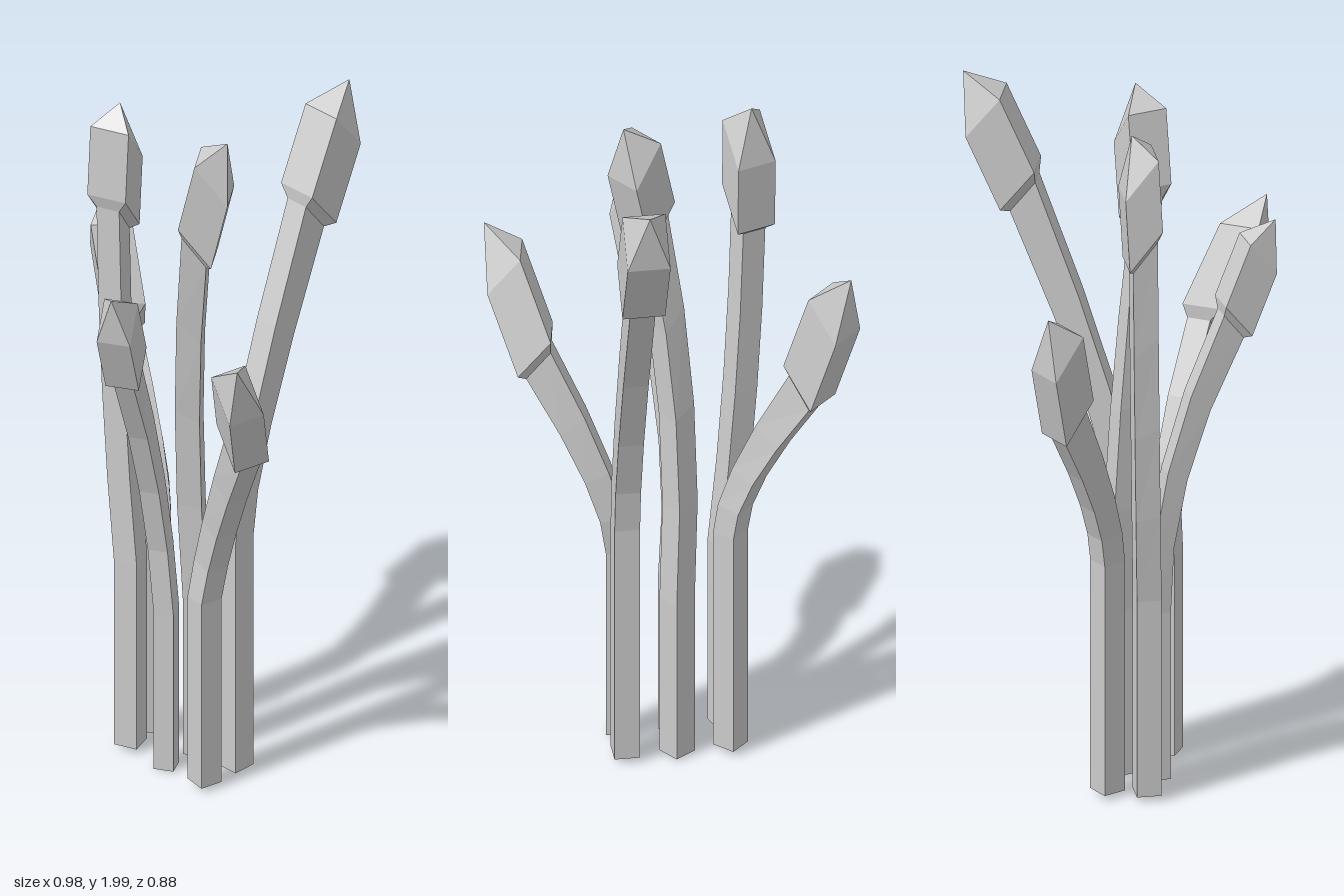
import * as THREE from 'three';

const V = (p) => new THREE.Vector3(...p);

// Four corners around a centre, turned by yaw; the outer side drops, the inner side rises.
function ring(c, yaw, across, along, drop) {
  const tx = Math.cos(yaw), tz = Math.sin(yaw);
  return [[1, 1], [1, -1], [-1, -1], [-1, 1]].map(([a, b]) => new THREE.Vector3(
    c.x + a * along * tx - b * across * tz,
    c.y - a * drop,
    c.z + a * along * tz + b * across * tx));
}

// Faceted skin over four-cornered rings, closed by a pointed tip or by a flat base.
function loft(name, rings, material, tip) {
  const pos = [];
  const tri = (...pts) => pts.forEach((p) => pos.push(p.x, p.y, p.z));
  const first = rings[0], last = rings[rings.length - 1];
  for (let i = 0; i < 4; i++) {
    const j = (i + 1) % 4;
    for (let k = 0; k < rings.length - 1; k++) {
      tri(rings[k][i], rings[k][j], rings[k + 1][j]);
      tri(rings[k][i], rings[k + 1][j], rings[k + 1][i]);
    }
    if (tip) tri(last[i], last[j], tip);
  }
  if (!tip) {
    tri(first[0], first[2], first[1]);
    tri(first[0], first[3], first[2]);
  }
  const g = new THREE.BufferGeometry();
  g.setAttribute('position', new THREE.Float32BufferAttribute(pos, 3));
  g.computeVertexNormals();
  const mesh = new THREE.Mesh(g, material);
  mesh.name = name;
  return mesh;
}

// A straight stem that bends from a given height towards a slanted, pointed bud.
function sprout(name, material, { foot, bend, pull, low, high, yaw, size }) {
  const group = new THREE.Group();
  group.name = name;
  const lower = V(low), upper = V(high);
  const axis = upper.clone().sub(lower);
  const neck = lower.clone().addScaledVector(axis, -0.12);

  // stem rings tilt more and more towards the bud
  const [x, y, z] = foot;
  const curve = new THREE.QuadraticBezierCurve3(V([x, bend, z]), V(pull), neck);
  const half = 0.035 * size;
  const stem = [ring(V([x, y, z]), yaw, half, half, 0)];
  for (let i = 0; i <= 4; i++) {
    stem.push(ring(curve.getPoint(i / 4), yaw, half, half, 0.045 * size * (i / 4) ** 1.5));
  }
  group.add(loft('stem', stem, material));

  // bud: flared neck, slanted prism and tip
  const budRing = (c) => ring(c, yaw, 0.059 * size, 0.047 * size, 0.059 * size);
  const tip = upper.clone().addScaledVector(axis, 0.54)
    .add(V([0.012 * Math.cos(yaw), 0, 0.012 * Math.sin(yaw)]));
  group.add(loft('bud', [stem[5], budRing(lower), budRing(upper)], material, tip));
  return group;
}

export function createModel() {
  const model = new THREE.Group();
  model.name = 'sprouts';
  const material = new THREE.MeshStandardMaterial({ color: 0xcccccc, flatShading: true });
  const add = (name, spec) => model.add(sprout(name, material, spec));

  add('backSprout', {
    foot: [0.14, 0.02, -0.005], bend: 0.75, pull: [0.14, 0.96, -0.005],
    low: [0.14, 1.675, -0.29], high: [0.14, 1.885, -0.385], yaw: -1.571, size: 1 });
  add('leftSprout', {
    foot: [0.14, 0.02, 0.115], bend: 0.6, pull: [0.15, 0.8, 0.085],
    low: [0.358, 1.21, 0.19], high: [0.428, 1.425, 0.282], yaw: 0.2, size: 0.95 });
  add('middleSprout', {
    foot: [-0.003, 0.01, -0.002], bend: 0.5, pull: [-0.04, 1.1, 0.02],
    low: [0.066, 1.68, 0.066], high: [0.108, 1.885, 0.045], yaw: -0.61, size: 0.97 });
  add('frontSprout', {
    foot: [-0.008, 0.005, 0.113], bend: 0.5, pull: [-0.045, 0.9, 0.11],
    low: [0.036, 1.37, 0.315], high: [0.064, 1.547, 0.378], yaw: 1.08, size: 0.8 });
  add('frontRightSprout', {
    foot: [-0.15, 0.02, 0.107], bend: 0.6, pull: [-0.205, 1.1, 0.11],
    low: [-0.216, 1.675, 0.106], high: [-0.216, 1.885, 0.094], yaw: -1.91, size: 0.97 });
  add('rightSprout', {
    foot: [-0.15, 0.02, -0.002], bend: 0.7, pull: [-0.15, 0.85, -0.005],
    low: [-0.355, 1.21, -0.078], high: [-0.421, 1.425, -0.096], yaw: -2.36, size: 0.97 });
  return model;
}
